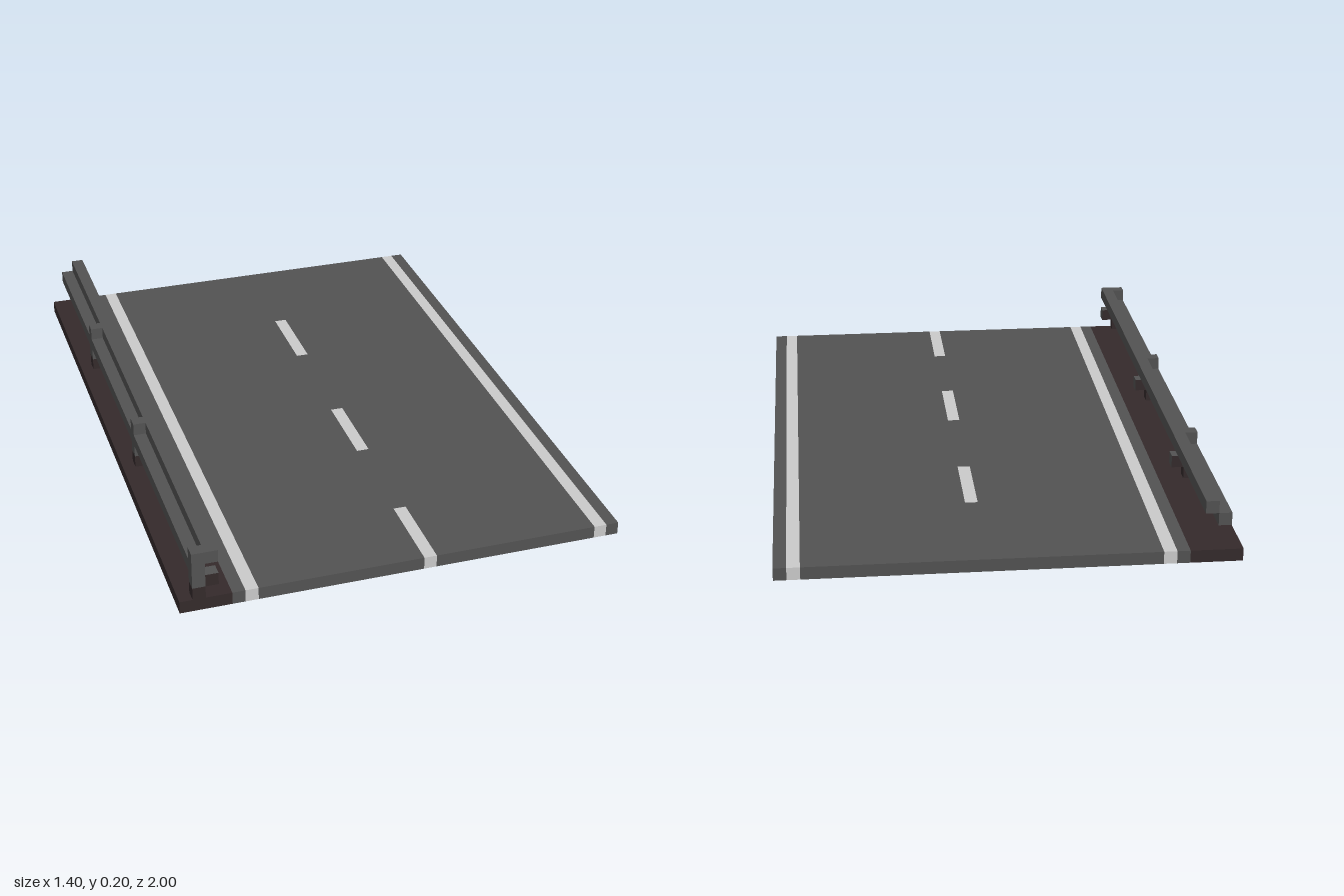
import * as THREE from 'three';

const mat = (name, color) => {
  const m = new THREE.MeshStandardMaterial({ color });
  m.name = name;
  return m;
};

export function createModel() {
  const asphalt = mat('asphalt grey', 0x525252);
  const paint = mat('road paint white', 0xcacaca);
  const earth = mat('dark earth', 0x342a2b);
  const root = new THREE.Group();
  root.name = 'roadSection';

  // Box given by its limits on each axis
  const block = (parent, name, material, [x0, x1], [y0, y1], [z0, z1]) => {
    const geo = new THREE.BoxGeometry(x1 - x0, y1 - y0, z1 - z0);
    const mesh = new THREE.Mesh(geo, material);
    mesh.position.set((x0 + x1) / 2, (y0 + y1) / 2, (z0 + z1) / 2);
    mesh.name = name;
    parent.add(mesh);
  };
  const slab = [0, 0.04], full = [-1, 1];

  // Road bed: lengthwise strips, coloured through their thickness
  const road = new THREE.Group();
  road.name = 'road';
  root.add(road);
  [
    ['verge', earth, -0.7, -0.54],
    ['rightShoulder', asphalt, -0.54, -0.5],
    ['rightEdgeLine', paint, -0.5, -0.46],
    ['rightLane', asphalt, -0.46, 0.06],
    ['leftLane', asphalt, 0.1, 0.62],
    ['leftEdgeLine', paint, 0.62, 0.66],
    ['leftShoulder', asphalt, 0.66, 0.7],
  ].forEach(([name, m, x0, x1]) => block(road, name, m, [x0, x1], slab, full));

  // Centre line: gaps and dashes in turn
  const stops = [-1, -0.6, -0.32, 0.08, 0.36, 0.72, 1];
  for (let i = 0; i < stops.length - 1; i++) {
    const dash = i % 2 === 1;
    block(road, dash ? 'centreDash' : 'centreGap', dash ? paint : asphalt,
      [0.06, 0.1], slab, [stops[i], stops[i + 1]]);
  }

  // Guard rail: upper beam towards the road, lower beam set back
  const rail = new THREE.Group();
  rail.name = 'guardRail';
  root.add(rail);
  block(rail, 'upperBeam', asphalt, [-0.62, -0.58], [0.16, 0.2], full);
  block(rail, 'lowerBeam', asphalt, [-0.66, -0.62], [0.12, 0.16], full);

  // Posts with a dark foot and a short bracket
  const bracketFaces = [asphalt, earth, asphalt, earth, earth, earth];
  for (const z of [-0.48, 0.2, 0.96]) {
    const span = [z, z + 0.04];
    block(rail, 'postFoot', earth, [-0.66, -0.62], [0.04, 0.08], span);
    block(rail, 'postMiddle', asphalt, [-0.66, -0.62], [0.08, 0.12], span);
    block(rail, 'postTop', asphalt, [-0.66, -0.62], [0.16, 0.2], span);
    block(rail, 'bracket', bracketFaces, [-0.62, -0.58], [0.08, 0.12], span);
  }
  return root;
}
